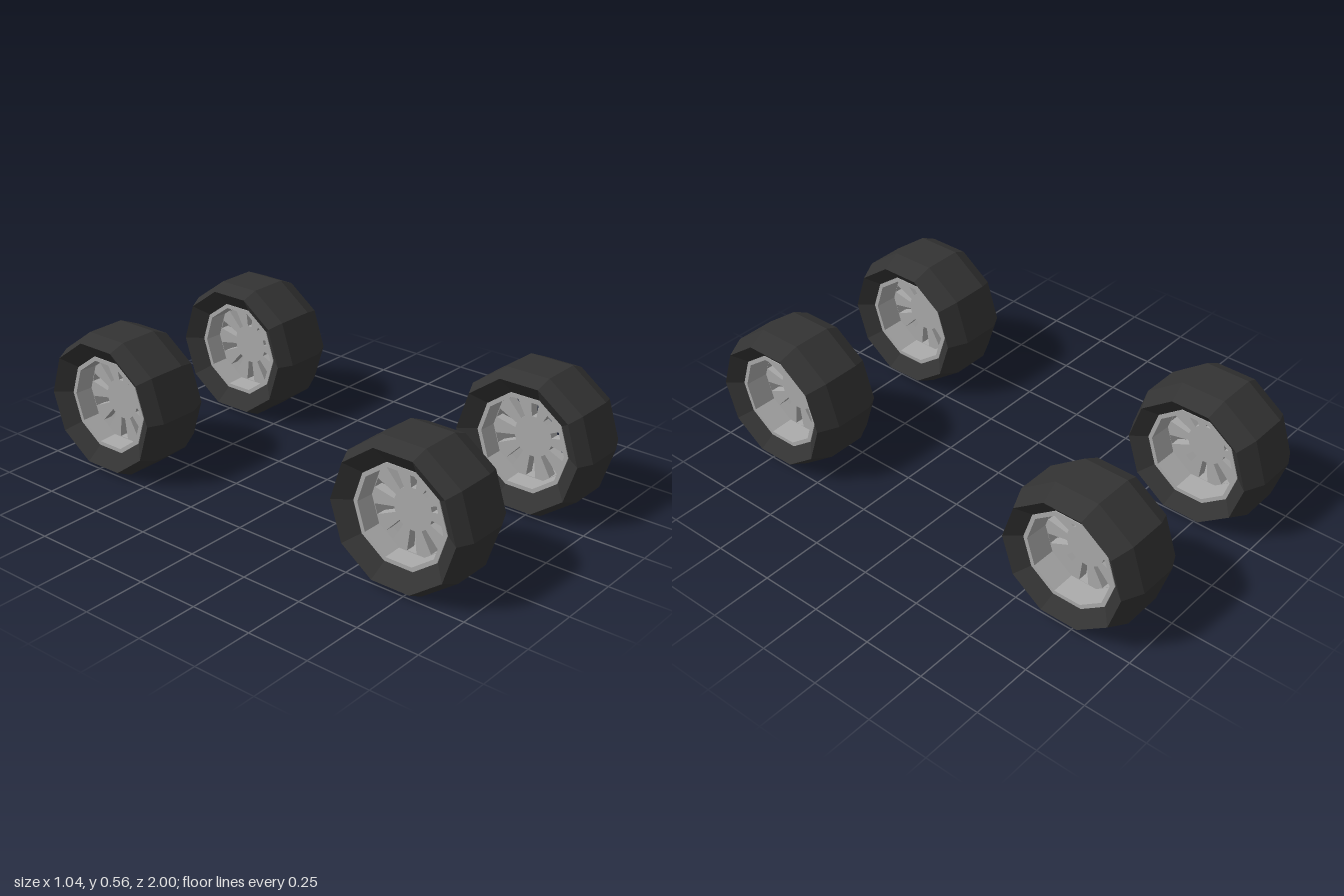
import * as THREE from 'three';

const SIDES = 10;
const rubber = new THREE.MeshStandardMaterial({ color: 0x333333 });
rubber.name = 'rubber';
const alloy = new THREE.MeshStandardMaterial({ color: 0xaaaaaa });
alloy.name = 'alloy';

// Faceted ring around the x axis; profile points are [radius, x], counterclockwise
function ring(profile) {
  const pts = [...profile, profile[0]].map(([r, x]) => new THREE.Vector2(r, x));
  const geo = new THREE.LatheGeometry(pts, SIDES).rotateZ(-Math.PI / 2).toNonIndexed();
  geo.computeVertexNormals();
  return geo;
}

// Ten-sided disc with a tapered slot towards the middle of every side
function spokeDisc(thickness) {
  const shape = new THREE.Shape();
  for (let i = 0; i < SIDES; i++) {
    const a = (i / SIDES) * Math.PI * 2;
    shape[i ? 'lineTo' : 'moveTo'](0.182 * Math.cos(a), 0.182 * Math.sin(a));
  }
  shape.closePath();
  for (let i = 0; i < SIDES; i++) {
    const a = ((i + 0.5) / SIDES) * Math.PI * 2;
    const corners = [[0.08, -0.01], [0.08, 0.01], [0.165, 0.02], [0.165, -0.02]];
    shape.holes.push(new THREE.Path(corners.map(([r, t]) => new THREE.Vector2(
      r * Math.cos(a) - t * Math.sin(a), r * Math.sin(a) + t * Math.cos(a)))));
  }
  return new THREE.ExtrudeGeometry(shape, { depth: thickness, bevelEnabled: false })
    .translate(0, 0, -thickness / 2).rotateY(Math.PI / 2);
}

export function createModel() {
  const model = new THREE.Group();
  model.name = 'wheelSet';

  // Tyre: flat tread, uneven shoulders and sidewalls sloping in to the rim
  const tyreGeo = ring([
    [0.195, -0.1], [0.263, -0.15], [0.292, -0.09],
    [0.292, 0.07], [0.255, 0.15], [0.195, 0.1],
  ]);
  // Rim: lip on both sides and a barrel
  const rimGeo = ring([[0.197, -0.105], [0.197, 0.105], [0.18, 0.105], [0.174, 0], [0.18, -0.105]]);
  const discGeo = spokeDisc(0.04);

  const part = (name, geo, material) => {
    const mesh = new THREE.Mesh(geo, material);
    mesh.name = name;
    return mesh;
  };

  // Four equal wheels
  for (const [end, z] of [['front', 0.708], ['rear', -0.708]]) {
    for (const [side, x] of [['Left', 0.37], ['Right', -0.37]]) {
      const wheel = new THREE.Group();
      wheel.name = end + side + 'Wheel';
      const disc = part('spokeDisc', discGeo, alloy);
      disc.position.x = -0.01;
      wheel.add(part('tyre', tyreGeo, rubber), part('rim', rimGeo, alloy), disc);
      wheel.position.set(x, 0.278, z);
      model.add(wheel);
    }
  }
  return model;
}
